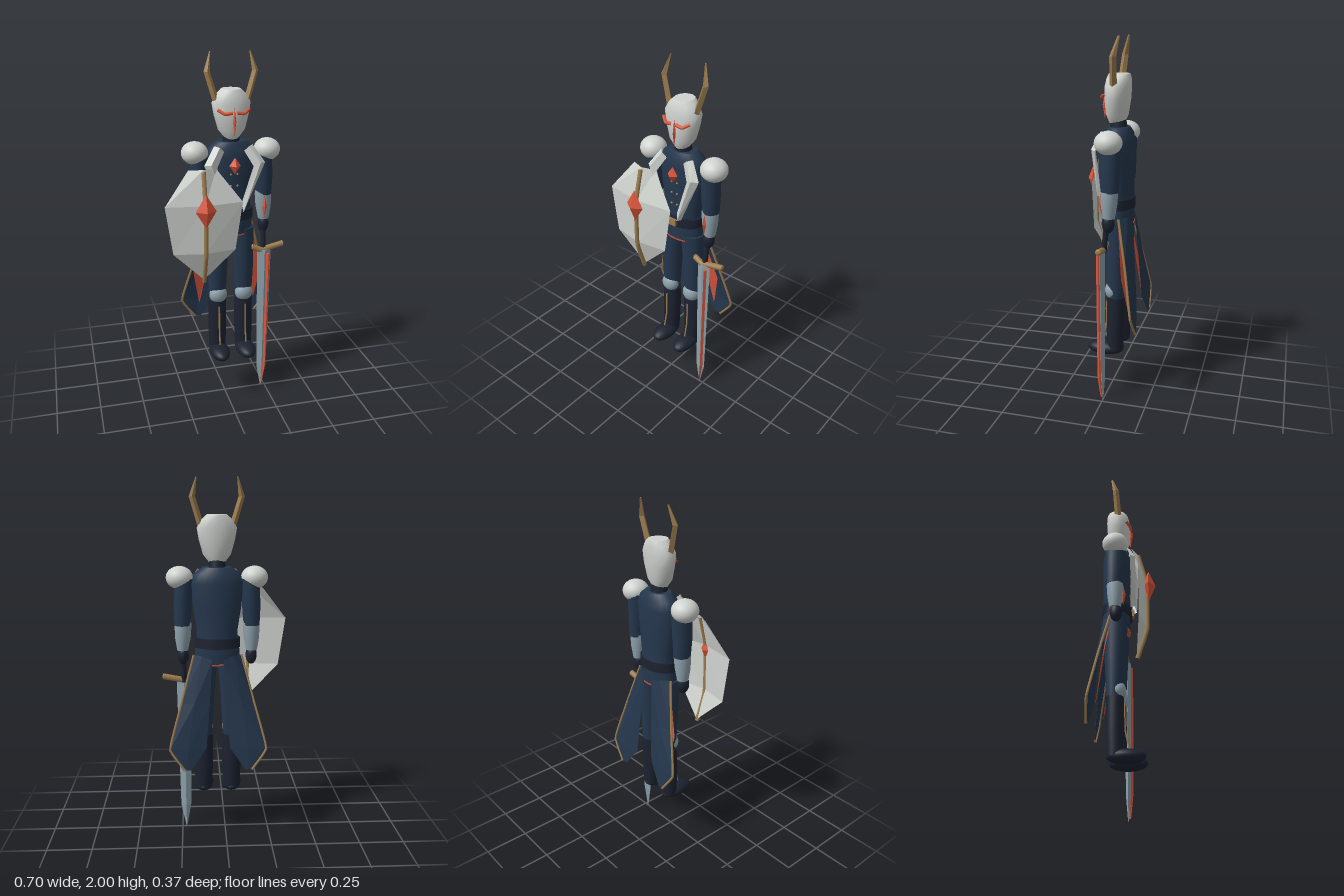
import * as THREE from 'three';

const mat = (color, opts = {}) => new THREE.MeshStandardMaterial({ color, ...opts });
const NAVY = 0x25374d, DARK = 0x1c2230, SILVER = 0xcfd3ce, STEEL = 0x8fa3ad, GOLD = 0x9c7d4f, RED = 0xd9553a;

function add(parent, name, geo, color, opts) {
  const m = new THREE.Mesh(geo, mat(color, opts));
  m.name = name;
  parent.add(m);
  return m;
}

// Stacked elliptical rings, bottom to top: [y, rx, rz, cx, cz]
function loft(rings, sides = 20) {
  const pos = [], idx = [], n = sides;
  rings.forEach(([y, rx, rz, cx = 0, cz = 0]) => {
    for (let j = 0; j < n; j++) {
      const a = (j / n) * Math.PI * 2;
      pos.push(cx + Math.cos(a) * rx, y, cz + Math.sin(a) * rz);
    }
  });
  for (let i = 0; i < rings.length - 1; i++) {
    for (let j = 0; j < n; j++) {
      const a = i * n + j, b = i * n + (j + 1) % n;
      idx.push(a, a + n, b, b, a + n, b + n);
    }
  }
  // Caps with their own vertices keep a crisp rim
  [0, rings.length - 1].forEach((r, top) => {
    const start = pos.length / 3;
    for (let j = 0; j < n; j++) pos.push(...pos.slice((r * n + j) * 3, (r * n + j) * 3 + 3));
    for (let j = 1; j < n - 1; j++) {
      idx.push(start, start + (top ? j + 1 : j), start + (top ? j : j + 1));
    }
  });
  const g = new THREE.BufferGeometry();
  g.setAttribute('position', new THREE.Float32BufferAttribute(pos, 3));
  g.setIndex(idx);
  g.computeVertexNormals();
  return g;
}

// Faceted sheet spanned between columns of points
function sheet(columns) {
  const pos = [];
  for (let c = 0; c < columns.length - 1; c++) {
    const L = columns[c], R = columns[c + 1];
    for (let i = 0; i < L.length - 1; i++) {
      pos.push(...L[i], ...L[i + 1], ...R[i], ...R[i], ...L[i + 1], ...R[i + 1]);
    }
  }
  const g = new THREE.BufferGeometry();
  g.setAttribute('position', new THREE.Float32BufferAttribute(pos, 3));
  g.computeVertexNormals();
  return g;
}

// Rod along straight segments
function rod(points, r, sides = 8) {
  const path = new THREE.CatmullRomCurve3(points.map(p => new THREE.Vector3(...p)), false, 'catmullrom', 0.15);
  return new THREE.TubeGeometry(path, points.length * 6, r, sides, false);
}

function gem(parent, name, x, y, z, rx, ry, rz) {
  const m = add(parent, name, new THREE.OctahedronGeometry(1), RED, { flatShading: true });
  m.position.set(x, y, z);
  m.scale.set(rx, ry, rz);
}

function ball(parent, name, color, x, y, z, rx, ry, rz) {
  const m = add(parent, name, new THREE.SphereGeometry(1, 24, 16), color);
  m.position.set(x, y, z);
  m.scale.set(rx, ry, rz);
}

const THIN = { side: THREE.DoubleSide, flatShading: true };

// Everything that exists once per side; s is +1 for left, -1 for right
function buildSide(body, s) {
  const side = new THREE.Group();
  side.name = s > 0 ? 'leftSide' : 'rightSide';
  body.add(side);
  const mx = pts => pts.map(([x, y, z]) => [x * s, y, z]);
  const limb = rings => loft(rings.map(([y, rx, rz, cx, cz]) => [y, rx, rz, cx * s, cz]));

  // Head ornaments
  add(side, 'horn', loft([
    [1.75, 0.018, 0.02, 0.085 * s, -0.035], [1.9, 0.017, 0.018, 0.13 * s, -0.045], [2.0, 0.003, 0.006, 0.107 * s, -0.07],
  ], 4), GOLD, { flatShading: true });
  add(side, 'brow', rod(mx([[0.085, 1.71, 0.013], [0.052, 1.69, 0.035], [0.012, 1.695, 0.036]]), 0.009), RED);

  // Arm
  ball(side, 'pauldron', SILVER, 0.202 * s, 1.478, -0.04, 0.073, 0.062, 0.073);
  add(side, 'upperArm', limb([[1.22, 0.044, 0.048, 0.188, -0.045], [1.32, 0.05, 0.055, 0.186, -0.042], [1.48, 0.05, 0.06, 0.18, -0.042]]), NAVY);
  add(side, 'bracer', limb([[1.08, 0.03, 0.032, 0.19, -0.04], [1.15, 0.043, 0.043, 0.188, -0.04], [1.22, 0.046, 0.046, 0.186, -0.042], [1.255, 0.043, 0.044, 0.186, -0.043]]), STEEL);
  ball(side, 'hand', DARK, 0.188 * s, 1.05, -0.035, 0.031, 0.052, 0.034);
  gem(side, 'bracerGem', 0.182 * s, 1.16, 0.004, 0.013, 0.065, 0.014);

  // Leg
  add(side, 'thigh', limb([[0.6, 0.048, 0.046, 0.078, -0.05], [0.8, 0.058, 0.056, 0.077, -0.05], [1.04, 0.067, 0.07, 0.067, -0.05]]), NAVY);
  ball(side, 'kneeCap', STEEL, 0.077 * s, 0.635, -0.032, 0.052, 0.055, 0.044);
  add(side, 'boot', limb([[0.28, 0.048, 0.046, 0.08, -0.045], [0.42, 0.053, 0.05, 0.079, -0.048], [0.6, 0.053, 0.05, 0.078, -0.05]]), DARK);
  ball(side, 'foot', DARK, 0.079 * s, 0.282, 0.01, 0.057, 0.04, 0.105);
  add(side, 'bootTrim', rod(mx([[0.078, 0.57, 0.002], [0.078, 0.42, 0.006], [0.079, 0.33, 0.025]]), 0.005, 6), GOLD);

  // Angular lapel with a folded outer edge
  add(side, 'lapel', sheet([
    mx([[0.055, 1.49, 0.025], [0.1, 1.41, 0.055], [0.035, 1.2, 0.05]]),
    mx([[0.08, 1.515, 0.035], [0.135, 1.43, 0.07], [0.045, 1.16, 0.065]]),
    mx([[0.105, 1.52, 0.01], [0.168, 1.425, 0.042], [0.05, 1.15, 0.035]]),
  ]), SILVER, THIN);

  // Coat tail with gold border and red lining
  const outer = mx([[0.13, 1.06, -0.075], [0.2, 0.8, -0.13], [0.265, 0.55, -0.175], [0.185, 0.43, -0.185]]);
  const middle = mx([[0.085, 1.06, -0.115], [0.13, 0.8, -0.155], [0.165, 0.55, -0.182], [0.165, 0.43, -0.185]]);
  const inner = mx([[0.03, 1.04, -0.13], [0.045, 0.8, -0.148], [0.065, 0.55, -0.165], [0.15, 0.43, -0.183]]);
  add(side, 'coatTail', sheet([outer, middle, inner]), NAVY, THIN);
  add(side, 'coatTrim', rod(outer, 0.007, 6), GOLD);
  add(side, 'coatLining', sheet([
    mx([[0.12, 1.03, -0.07], [0.205, 0.75, -0.11], [0.17, 0.55, -0.14]]),
    mx([[0.09, 1.03, -0.085], [0.125, 0.75, -0.115], [0.165, 0.54, -0.14]]),
  ]), RED, THIN);
}

function buildShield(root) {
  const shield = new THREE.Group();
  shield.name = 'shield';
  shield.position.x = -0.137;
  root.add(shield);
  const rim = s => [[0.075 * s, 1.41, 0.055], [0.212 * s, 1.23, 0.1], [0.173 * s, 0.96, 0.1], [0, 0.785, 0.075]];
  const ridge = [[0, 1.415, 0.085], [0, 1.23, 0.13], [0, 0.96, 0.13], [0, 0.785, 0.075]];
  add(shield, 'shieldPlate', sheet([rim(-1), ridge, rim(1)]), SILVER, THIN);
  add(shield, 'shieldSpine', rod(ridge.map(([x, y, z]) => [x, y - 0.01, z + 0.004]), 0.012), GOLD);
  gem(shield, 'shieldGem', 0, 1.205, 0.145, 0.056, 0.095, 0.038);
}

function buildSword(root) {
  const sword = new THREE.Group();
  sword.name = 'sword';
  root.add(sword);
  add(sword, 'blade', loft([
    [0, 0.002, 0.002, 0.226, 0], [0.14, 0.029, 0.014, 0.228, 0], [0.9, 0.041, 0.018, 0.231, 0],
  ], 4), STEEL, { flatShading: true });
  add(sword, 'bladeInlay', loft([
    [0.015, 0.002, 0.008, 0.228, 0.006], [0.15, 0.009, 0.013, 0.244, 0.013], [0.88, 0.01, 0.014, 0.251, 0.014],
  ], 4), RED, { flatShading: true });
  add(sword, 'grip', loft([[0.89, 0.015, 0.015, 0.23, -0.01], [1.08, 0.015, 0.015, 0.23, -0.03]], 10), DARK);
  // Flared guard with closed ends
  const pts = [[0.165, 0.92, -0.008], [0.215, 0.898, -0.005], [0.275, 0.91, -0.01], [0.342, 0.924, -0.012]];
  add(sword, 'guard', rod(pts, 0.017), GOLD, { side: THREE.DoubleSide });
  [pts[0], pts[3]].forEach(p => ball(sword, 'guardEnd', GOLD, p[0], p[1], p[2], 0.008, 0.017, 0.017));
}

export function createModel() {
  const root = new THREE.Group();
  root.name = 'armouredKnight';
  const body = new THREE.Group();
  body.name = 'body';
  body.position.x = 0.045;
  root.add(body);

  // Head and neck
  add(body, 'helmet', loft([
    [1.55, 0.036, 0.04, 0, -0.035], [1.6, 0.075, 0.06, 0, -0.035], [1.68, 0.097, 0.069, 0, -0.038],
    [1.74, 0.107, 0.07, 0, -0.04], [1.785, 0.08, 0.065, 0, -0.045], [1.81, 0.052, 0.056, 0, -0.048],
  ], 14), SILVER);
  gem(body, 'noseGuard', 0, 1.645, 0.032, 0.009, 0.075, 0.013);
  add(body, 'neck', loft([[1.5, 0.05, 0.05, 0, -0.045], [1.58, 0.042, 0.042, 0, -0.04]]), DARK);

  // Torso, belt and hips
  add(body, 'torso', loft([
    [1.1, 0.113, 0.078, 0, -0.05], [1.2, 0.112, 0.076, 0, -0.05], [1.33, 0.132, 0.08, 0, -0.048],
    [1.45, 0.142, 0.082, 0, -0.048], [1.5, 0.125, 0.075, 0, -0.047], [1.535, 0.08, 0.058, 0, -0.045],
  ], 24), NAVY);
  add(body, 'belt', loft([[1.1, 0.126, 0.088, 0, -0.046], [1.155, 0.124, 0.086, 0, -0.046]], 24), DARK);
  add(body, 'hips', loft([[1.01, 0.125, 0.078, 0, -0.05], [1.11, 0.12, 0.08, 0, -0.05]], 24), NAVY);
  add(body, 'hipTrim', loft([[1.008, 0.122, 0.08, 0, -0.05], [1.016, 0.126, 0.081, 0, -0.05]], 24), RED);
  add(body, 'buckle', new THREE.BoxGeometry(0.045, 0.04, 0.02), GOLD).position.set(0, 1.128, 0.042);

  // Chest gem and studs
  gem(body, 'chestGem', 0, 1.415, 0.045, 0.032, 0.045, 0.03);
  [1.365, 1.3, 1.235].forEach(y => [-1, 1].forEach(s =>
    ball(body, 'stud', GOLD, 0.018 * s, y, 0.03, 0.006, 0.006, 0.006)));

  [1, -1].forEach(s => buildSide(body, s));
  buildShield(root);
  buildSword(root);
  return root;
}
